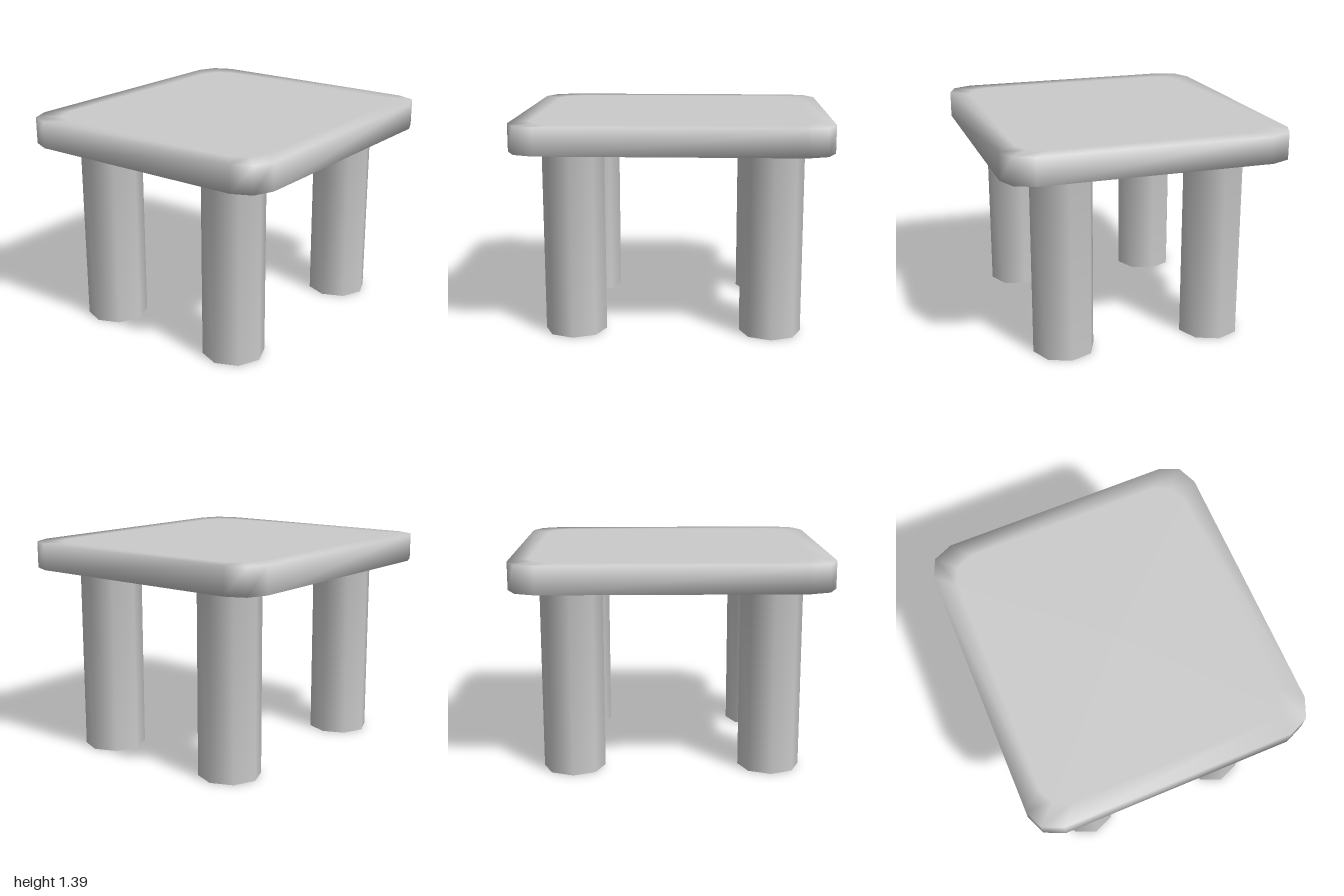
import * as THREE from 'three';

const BOTTOM = 1.217, TOP = 1.39;

// Square outline with chamfered, three-point corners, pulled in by an inset
function outline(inset) {
  const corner = [[1, 0.74], [0.945, 0.865], [0.82, 0.917]];
  const sx = 1 - inset, sz = (0.917 - inset) / 0.917;
  const points = [];
  for (const [mx, mz] of [[1, 1], [-1, 1], [-1, -1], [1, -1]]) {
    const order = mx * mz > 0 ? corner : [...corner].reverse();
    for (const [x, z] of order) points.push([x * mx * sx, z * mz * sz]);
  }
  return points;
}

// Slab from stacked loops; shared vertices give the soft, pillowy edge shading
function slabGeometry() {
  const loops = [[0.12, BOTTOM], [0, BOTTOM], [0, TOP], [0.12, TOP]];
  const positions = [], index = [], n = 12;
  for (const [inset, y] of loops) {
    for (const [x, z] of outline(inset)) positions.push(x, y, z);
  }
  for (let l = 0; l < loops.length - 1; l++) {
    for (let i = 0; i < n; i++) {
      const a = l * n + i, b = l * n + (i + 1) % n;
      index.push(a, a + n, b, b, a + n, b + n);
    }
  }
  // Flat caps, fanned from a centre point
  const low = positions.length / 3, high = low + 1, last = (loops.length - 1) * n;
  positions.push(0, BOTTOM, 0, 0, TOP, 0);
  for (let i = 0; i < n; i++) {
    const j = (i + 1) % n;
    index.push(low, i, j, high, last + j, last + i);
  }
  const geometry = new THREE.BufferGeometry();
  geometry.setAttribute('position', new THREE.Float32BufferAttribute(positions, 3));
  geometry.setIndex(index);
  geometry.computeVertexNormals();
  return geometry;
}

export function createModel() {
  const group = new THREE.Group();
  group.name = 'table';
  const material = new THREE.MeshStandardMaterial({ color: 0xcccccc });
  const openMaterial = new THREE.MeshStandardMaterial({ color: 0xcccccc, side: THREE.DoubleSide });

  const tabletop = new THREE.Mesh(slabGeometry(), material);
  tabletop.name = 'tabletop';
  group.add(tabletop);

  // Open eight-sided legs that flare out where they meet the underside
  const profile = [[0.2, 0], [0.2, 1.185], [0.335, BOTTOM]].map(([r, y]) => new THREE.Vector2(r, y));
  const legGeometry = new THREE.LatheGeometry(profile, 8);
  for (const [zName, z] of [['front', 0.5], ['back', -0.5]]) {
    for (const [xName, x] of [['Left', 0.635], ['Right', -0.635]]) {
      const leg = new THREE.Mesh(legGeometry, openMaterial);
      leg.name = `${zName}${xName}Leg`;
      leg.position.set(x, 0, z);
      group.add(leg);
    }
  }
  return group;
}
